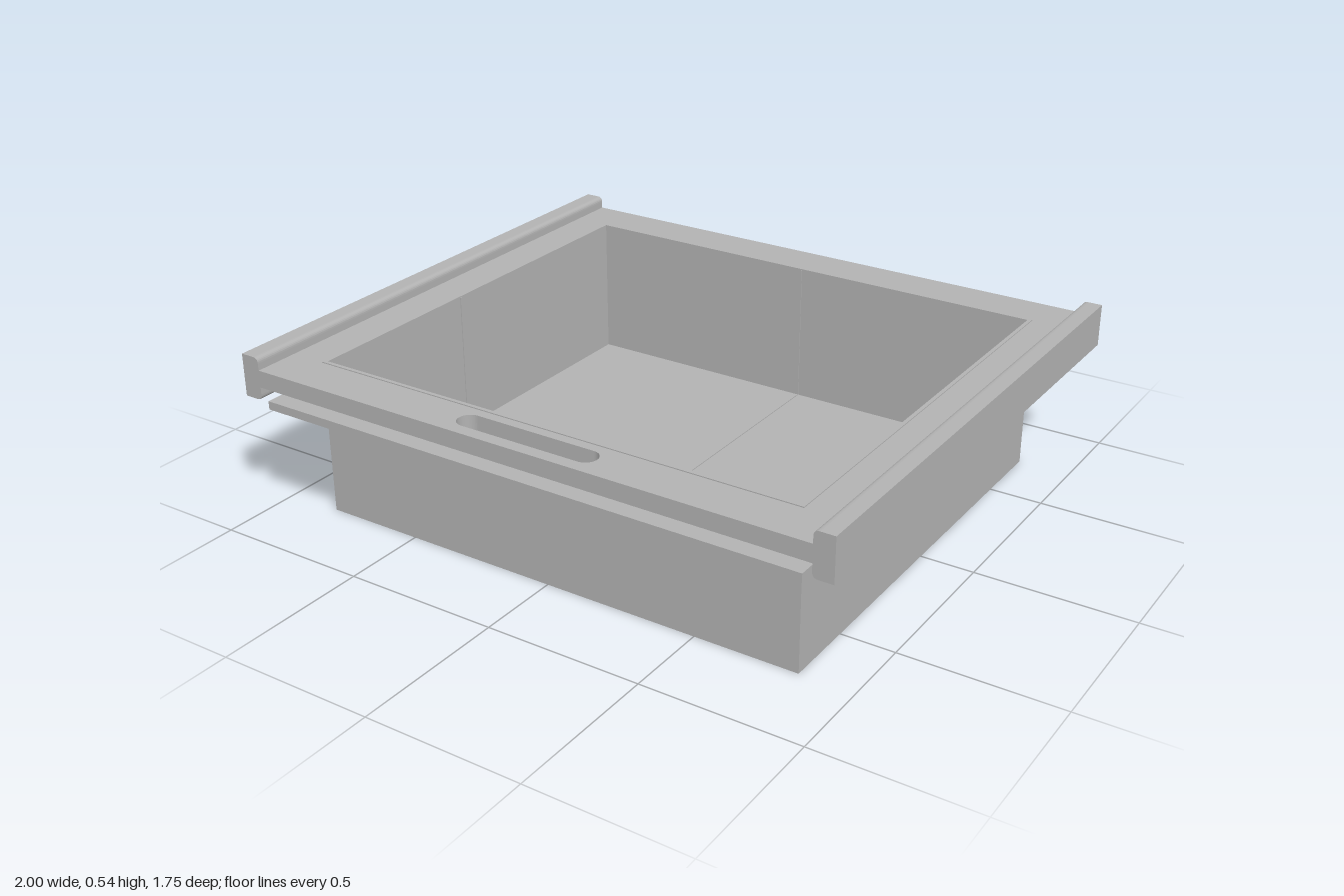
import * as THREE from 'three';

const grey = new THREE.MeshStandardMaterial({ color: 0xb2b2b2 });
grey.name = 'grey';

// tub outline and shared sizes
const TUB = { x0: -0.82, x1: 0.83, z0: -0.73, z1: 0.73 };
const WALL = 0.012, FLOOR = 0.035, RIM = 0.503, HALF_Z = 0.875;

function add(parent, name, geometry, x = 0, y = 0, z = 0) {
  const mesh = new THREE.Mesh(geometry, grey);
  mesh.name = name;
  mesh.position.set(x, y, z);
  parent.add(mesh);
  return mesh;
}

// rectangle in plan; the shape's second axis is -z
function rect(Type, x0, x1, z0, z1) {
  const p = new Type();
  p.moveTo(x0, -z1).lineTo(x1, -z1).lineTo(x1, -z0).lineTo(x0, -z0).closePath();
  return p;
}

function slab(shape, height) {
  return new THREE.ExtrudeGeometry(shape, { depth: height, bevelEnabled: false, curveSegments: 12 })
    .rotateX(-Math.PI / 2);
}

const tubHole = () => rect(THREE.Path, TUB.x0, TUB.x1, TUB.z0, TUB.z1);

export function createModel() {
  const model = new THREE.Group();
  model.name = 'drawer';

  // top frame with the tub opening and a pill-shaped grip slot
  const frame = rect(THREE.Shape, -0.94, 0.94, -HALF_Z, HALF_Z);
  const slot = new THREE.Path();
  const r = 0.037, sx = 0.2, sy = -0.798;
  slot.moveTo(-sx, sy - r).lineTo(sx, sy - r);
  slot.absarc(sx, sy, r, -Math.PI / 2, Math.PI / 2, false);
  slot.lineTo(-sx, sy + r);
  slot.absarc(-sx, sy, r, Math.PI / 2, Math.PI * 1.5, false);
  frame.holes.push(tubHole(), slot);
  add(model, 'topFrame', slab(frame, 0.055), 0, 0.445, 0);

  // thin flange below the frame
  const flange = rect(THREE.Shape, -0.91, 0.91, -HALF_Z, HALF_Z);
  flange.holes.push(tubHole());
  add(model, 'lowerFlange', slab(flange, 0.027), 0, 0.38, 0);

  // open tub: wall ring and floor
  const tub = new THREE.Group();
  tub.name = 'tub';
  model.add(tub);
  const inner = {
    x0: TUB.x0 + WALL, x1: TUB.x1 - WALL, z0: TUB.z0 + WALL, z1: TUB.z1 - WALL,
  };
  const ring = rect(THREE.Shape, TUB.x0, TUB.x1, TUB.z0, TUB.z1);
  ring.holes.push(rect(THREE.Path, inner.x0, inner.x1, inner.z0, inner.z1));
  add(tub, 'tubWalls', slab(ring, RIM));
  add(tub, 'tubFloor', slab(rect(THREE.Shape, inner.x0, inner.x1, inner.z0, inner.z1), FLOOR));

  // fine seam strips across the floor and up the walls
  const t = 0.006, seamX = 0, seamZ = 0.1;
  const w = inner.x1 - inner.x0, d = inner.z1 - inner.z0;
  const cx = (inner.x0 + inner.x1) / 2, h = RIM - FLOOR - 0.005;
  const wallY = FLOOR + h / 2;
  add(tub, 'floorSeamLong', new THREE.BoxGeometry(t, t, d), seamX, FLOOR, 0);
  add(tub, 'floorSeamCross', new THREE.BoxGeometry(w, t, t), cx, FLOOR, seamZ);
  for (const z of [inner.z0, inner.z1]) {
    add(tub, 'wallSeam', new THREE.BoxGeometry(t, h, t), seamX, wallY, z);
  }
  for (const x of [inner.x0, inner.x1]) {
    add(tub, 'wallSeam', new THREE.BoxGeometry(t, h, t), x, wallY, seamZ);
  }

  // side rails with rounded inner edges
  for (const side of [1, -1]) {
    const a = 0.937, b = 1, y0 = 0.403, y1 = 0.54, c = 0.018;
    const profile = new THREE.Shape();
    profile.moveTo(side * b, y0).lineTo(side * b, y1).lineTo(side * (a + c), y1);
    profile.quadraticCurveTo(side * a, y1, side * a, y1 - c);
    profile.lineTo(side * a, y0 + c);
    profile.quadraticCurveTo(side * a, y0, side * (a + c), y0);
    profile.closePath();
    const rail = new THREE.ExtrudeGeometry(profile, {
      depth: HALF_Z * 2, bevelEnabled: false, curveSegments: 6,
    });
    add(model, side > 0 ? 'leftRail' : 'rightRail', rail, 0, 0, -HALF_Z);
  }

  return model;
}
